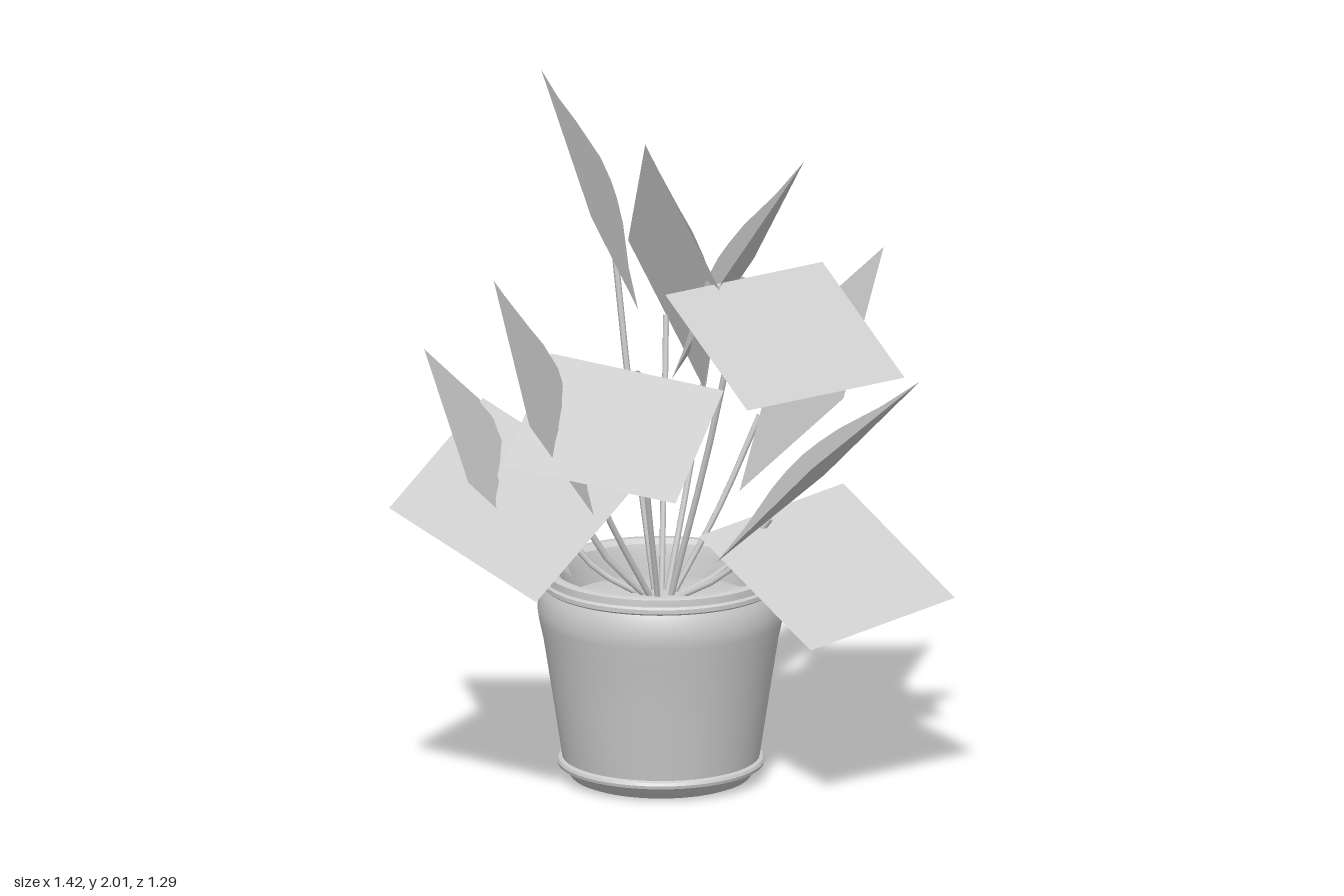
import * as THREE from 'three';
import { toCreasedNormals } from 'three/addons/utils/BufferGeometryUtils.js';

export function createModel() {
  const model = new THREE.Group();
  const clay = new THREE.MeshStandardMaterial({ color: 0xcccccc, side: THREE.DoubleSide });
  clay.name = 'pale grey';
  const add = (name, geometry) => {
    const mesh = new THREE.Mesh(geometry, clay);
    mesh.name = name;
    model.add(mesh);
    return mesh;
  };
  const cx = -0.133, cz = -0.144;
  const soilY = 0.53;
  const lathe = (points) => toCreasedNormals(
    new THREE.LatheGeometry(points.map(([r, y]) => new THREE.Vector2(r, y)), 48), 0.6);

  // Pot: tapered wall with a foot, a bead near the foot, a shoulder and a rim
  add('pot', lathe([
    [0, 0], [0.235, 0], [0.25, 0.006], [0.268, 0.03], [0.276, 0.037], [0.287, 0.041], [0.289, 0.05],
    [0.285, 0.058], [0.275, 0.062], [0.302, 0.24], [0.327, 0.4], [0.34, 0.46], [0.344, 0.49],
    [0.337, 0.535], [0.328, 0.555], [0.334, 0.56], [0.334, 0.572], [0.327, 0.578],
    [0.326, 0.598], [0.319, 0.602], [0.3, 0.602], [0.285, 0.59], [0.277, 0.56], [0.27, 0.48],
  ])).position.set(cx, 0, cz);

  // Soil: a low mound inside the pot
  add('soil', lathe([[0.275, 0.5], [0.2, 0.515], [0.1, 0.527], [0, soilY]])).position.set(cx, 0, cz);

  // Leaves: three corners each; side and base corners bound the edge that
  // meets the stem, and the tip completes the parallelogram
  const leaves = [
    [[-0.49, 1.65, -0.46], [-0.2, 1.34, -0.14], [-0.2, 1.695, 0.19]],
    [[-0.07, 1.37, -0.65], [-0.115, 1.14, -0.18], [0.125, 1.5, 0.025]],
    [[-0.395, 1.42, -0.52], [-0.035, 1.11, -0.22], [0.125, 1.47, 0.03]],
    [[-0.33, 1.28, 0.17], [0.135, 1.19, 0.035], [0.175, 0.98, 0.465]],
    [[0.3, 1.5, -0.275], [-0.01, 1.47, 0.11], [0.36, 1.25, 0.39]],
    [[-0.4, 1.17, -0.04], [-0.14, 0.87, 0.31], [-0.19, 1.21, 0.645]],
    [[0.03, 1.16, -0.6], [0.12, 0.86, -0.11], [0.5, 1.21, 0.04]],
    [[0.23, 0.83, -0.45], [0.14, 0.71, 0.1], [0.495, 1.06, 0.25]],
    [[0.27, 0.8, -0.49], [0.01, 0.725, -0.08], [0.45, 0.505, 0.155]],
    [[-0.57, 0.89, -0.22], [-0.28, 0.63, 0.14], [-0.425, 0.99, 0.53]],
    [[-0.575, 1.1, 0.08], [-0.14, 0.87, 0.055], [-0.215, 0.67, 0.54]],
  ];
  const domeHeight = 0.065;

  leaves.forEach((corners, i) => {
    const [side, base, far] = corners.map((p) => new THREE.Vector3(...p));
    const across = side.clone().sub(base);
    const along = far.clone().sub(base);
    const up = across.clone().cross(along).normalize();
    const flip = up.y < 0;
    if (flip) up.negate();

    // Square sheet with straight edges, domed slightly in the middle, shaded evenly
    const leaf = new THREE.PlaneGeometry(1, 1, 6, 6);
    const pos = leaf.attributes.position;
    for (let k = 0; k < pos.count; k++) {
      const a = pos.getX(k), b = pos.getY(k);
      const u = flip ? b : a, v = flip ? a : b;
      const rise = domeHeight * (1 - 4 * u * u) * (1 - 4 * v * v);
      const p = base.clone().addScaledVector(across, u + 0.5)
        .addScaledVector(along, v + 0.5).addScaledVector(up, rise);
      pos.setXYZ(k, p.x, p.y, p.z);
      leaf.attributes.normal.setXYZ(k, up.x, up.y, up.z);
    }
    add('leaf' + (i + 1), leaf);

    // Stem: leaves the soil near the middle and bends up to the base edge;
    // stems of low leaves run outward first
    const end = base.clone().lerp(side, 0.5);
    const angle = Math.atan2(end.z - cz, end.x - cx);
    const start = new THREE.Vector3(cx + 0.03 * Math.cos(angle), soilY - 0.02, cz + 0.03 * Math.sin(angle));
    const mid = start.clone().lerp(end, 0.55);
    mid.y = THREE.MathUtils.lerp(start.y, end.y, end.y < 1 ? 0.35 : 0.5);
    const path = new THREE.CatmullRomCurve3([start, mid, end]);
    add('stem' + (i + 1), new THREE.TubeGeometry(path, 6, 0.009, 6));
  });

  return model;
}
